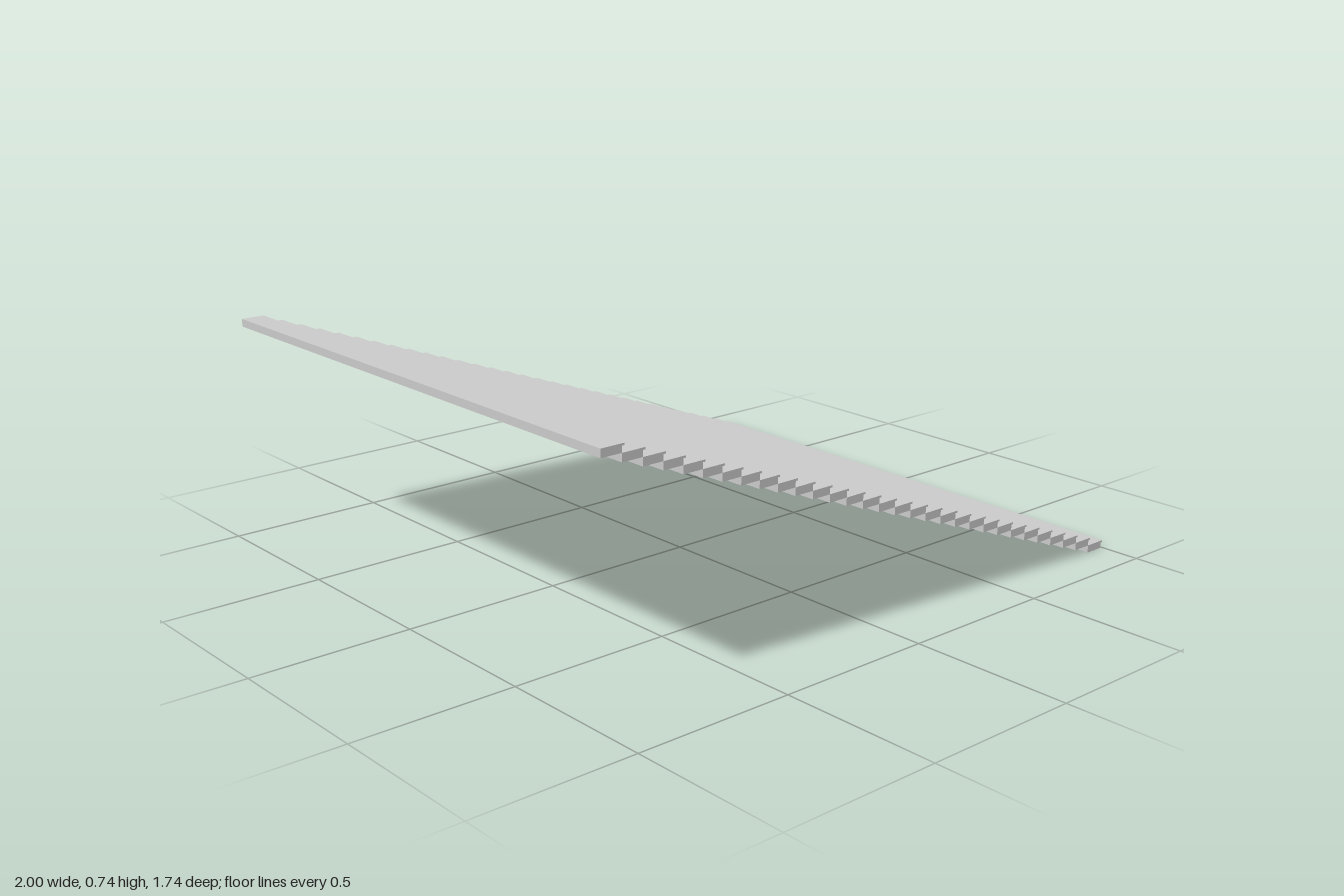
import * as THREE from 'three';

export function createModel() {
  const stairs = new THREE.Group();
  stairs.name = 'staircase';
  const material = new THREE.MeshStandardMaterial({ color: 0xcccccc, flatShading: true });

  const count = 31, depth = 1.74;
  const treadWidth = 0.072;                    // going plus nosing
  const going = (2 - treadWidth) / (count - 1);
  const rise = 0.735 / count;
  const slab = 0.006;                          // tread thickness

  const addBox = (parent, name, w, h, x, y) => {
    const mesh = new THREE.Mesh(new THREE.BoxGeometry(w, h, depth), material);
    mesh.name = name;
    mesh.position.set(x + w / 2, y + h / 2, 0);
    parent.add(mesh);
  };

  // Steps climb towards -x, each a block under a tread with a nosing
  for (let i = 0; i < count; i++) {
    const step = new THREE.Group();
    step.name = 'step' + (i + 1);
    step.position.set(1 - treadWidth - i * going, i * rise, 0);
    addBox(step, 'stepBlock', going, rise - slab, 0, 0);
    addBox(step, 'tread', treadWidth, slab, 0, rise - slab);
    stairs.add(step);
  }
  return stairs;
}
